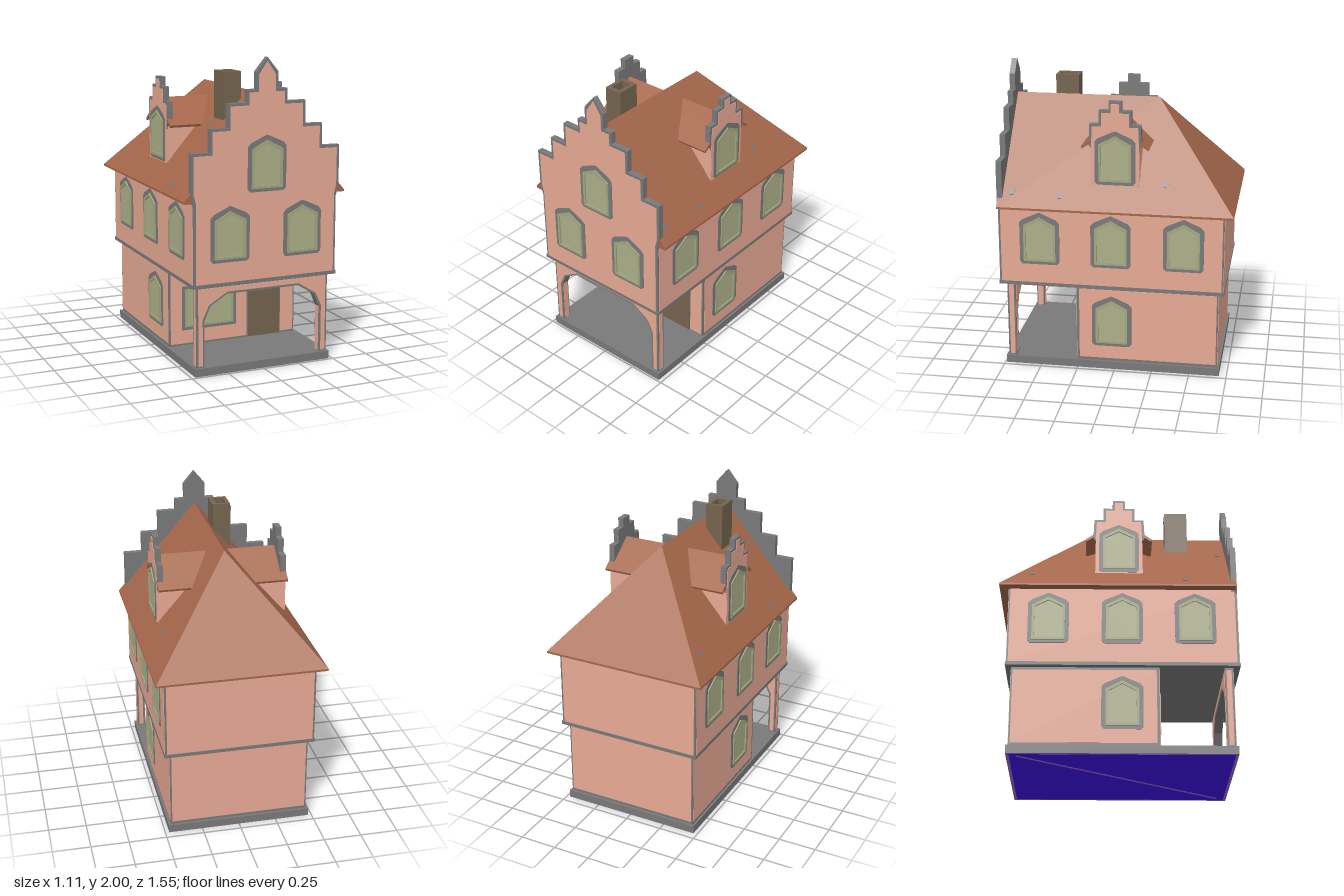
import * as THREE from 'three';

const material = (name, color) => {
  const m = new THREE.MeshStandardMaterial({ color });
  m.name = name;
  return m;
};

export function createModel() {
  const house = new THREE.Group();
  house.name = 'house';
  const plaster = material('pink plaster', 0xf0b09a);
  const stone = material('grey stone', 0x7a7979);
  const tile = material('roof tile', 0xa5674b);
  const wood = material('brown wood', 0x75644e);
  const rimPaint = material('olive window rim', 0xa3a780);
  const glass = material('olive pane', 0xacb088);
  const blue = material('underside blue', 0x3d0fe6);
  const violet = material('underside violet', 0x9a66cc);

  const add = (name, geometry, mat, parent = house) => {
    const mesh = new THREE.Mesh(geometry, mat);
    mesh.name = name;
    parent.add(mesh);
    return mesh;
  };
  // Box given by its limits on each axis
  const box = (name, mat, [x0, x1], [y0, y1], [z0, z1], parent = house) => {
    const mesh = add(name, new THREE.BoxGeometry(x1 - x0, y1 - y0, z1 - z0), mat, parent);
    mesh.position.set((x0 + x1) / 2, (y0 + y1) / 2, (z0 + z1) / 2);
    return mesh;
  };
  // Outline extruded from z0 to z1, with an optional hole
  const plate = (outline, z0, z1, hole) => {
    const shape = new THREE.Shape(outline.map(p => new THREE.Vector2(...p)));
    if (hole) shape.holes.push(new THREE.Path(hole.map(p => new THREE.Vector2(...p))));
    return new THREE.ExtrudeGeometry(shape, { depth: z1 - z0, bevelEnabled: false }).translate(0, 0, z0);
  };
  // Completes a right half (listed bottom to top) with its mirror image
  const mirror = half => [...half, ...half.filter(p => p[0] !== 0).reverse().map(([x, y]) => [-x, y])];
  const inset = (half, d) => half.map(([x, y]) => (x === 0 ? [0, y - d * 1.4] : [x - d, y - d]));

  // Base slab and its coloured underside
  box('baseSlab', stone, [-0.475, 0.475], [0.003, 0.055], [-0.70, 0.74]);
  box('undersideBorder', violet, [-0.475, 0.475], [0.002, 0.003], [-0.70, 0.74]);
  box('undersidePanel', blue, [-0.455, 0.455], [0.001, 0.002], [-0.68, 0.72]);
  const seam = add('undersideSeam', new THREE.BoxGeometry(0.02, 0.001, 1.55), violet);
  seam.position.set(0, 0.0005, 0.02);
  seam.rotation.y = Math.atan2(0.45, 0.7);

  // Ground floor: stone core whose edges show around the plaster panels
  box('groundFloorCore', stone, [-0.46, 0.46], [0.055, 0.59], [-0.685, 0.255]);
  for (const s of [-1, 1]) {
    box('groundSidePanel', plaster, [s * 0.461 - 0.002, s * 0.461 + 0.002], [0.075, 0.565], [-0.675, 0.238]);
  }
  box('groundBackPanel', plaster, [-0.45, 0.45], [0.075, 0.57], [-0.688, -0.684]);
  box('porchWallPanel', plaster, [-0.45, 0.1], [0.068, 0.575], [0.254, 0.259]);
  box('porchWallStrip', plaster, [0.355, 0.45], [0.068, 0.575], [0.254, 0.259]);
  box('door', wood, [0.115, 0.35], [0.057, 0.53], [0.254, 0.259]);

  // Porch front with its angular arch
  const arch = (w, d, bottom, top) => [
    ...mirror([[w, bottom], [w, top]]),
    [-0.405 - d, bottom], [-0.405 - d, 0.36 + d / 2], [-0.365 - d * 0.8, 0.45 + d * 0.6], [-0.25, 0.52 + d],
    [0.25, 0.52 + d], [0.365 + d * 0.8, 0.45 + d * 0.6], [0.405 + d, 0.36 + d / 2], [0.405 + d, bottom],
  ];
  add('porchArch', plate(arch(0.46, 0, 0.055, 0.59), 0.67, 0.725), stone);
  const porchFace = arch(0.448, 0.014, 0.065, 0.568);
  add('porchFrontPlaster', plate(porchFace, 0.724, 0.728), plaster);
  add('porchBackPlaster', plate(porchFace, 0.667, 0.671), plaster);
  for (const s of [-1, 1]) {
    box('postOuterPlaster', plaster, [s * 0.461 - 0.002, s * 0.461 + 0.002], [0.065, 0.57], [0.681, 0.713]);
    box('postInnerPlaster', plaster, [s * 0.404 - 0.002, s * 0.404 + 0.002], [0.06, 0.36], [0.678, 0.717]);
  }

  // Upper floor
  box('upperFloorCore', stone, [-0.493, 0.493], [0.585, 1.13], [-0.715, 0.763]);
  box('floorBand', stone, [-0.498, 0.498], [0.583, 0.606], [-0.722, 0.769]);
  for (const s of [-1, 1]) {
    box('upperSidePanel', plaster, [s * 0.494 - 0.002, s * 0.494 + 0.002], [0.606, 1.128], [-0.705, 0.75]);
  }
  box('upperBackPanel', plaster, [-0.481, 0.481], [0.606, 1.128], [-0.718, -0.714]);

  // Stepped front gable, with one plaster face running down over the upper floor
  const steps = [
    [0.51, 1.43], [0.385, 1.43], [0.385, 1.575], [0.265, 1.575], [0.265, 1.725],
    [0.138, 1.725], [0.138, 1.805], [0.075, 1.805], [0.075, 1.91], [0, 2],
  ];
  add('frontGable', plate(mirror([[0.493, 1.1], [0.51, 1.17], ...steps]), 0.728, 0.765), stone);
  add('frontPlaster', plate(mirror([[0.478, 0.606], [0.478, 1.12], [0.492, 1.17], ...inset(steps, 0.018)]), 0.762, 0.768), plaster);

  // Main roof: ridge running into the gable, hipped at the back
  const [ex, eb, ef, ey, ry] = [0.553, -0.775, 0.76, 1.135, 1.772];
  const A = [-ex, ey, ef], B = [ex, ey, ef], C = [ex, ey, eb], D = [-ex, ey, eb];
  const F = [0, ry, ef], R = [0, ry, -0.23];
  const [a, b, c, d] = [A, B, C, D].map(([x, y, z]) => [x, y - 0.014, z]);
  const triangles = [
    B, C, R, B, R, F, A, F, R, A, R, D, C, D, R, A, B, F,
    a, b, B, a, B, A, b, c, C, b, C, B, c, d, D, c, D, C, d, a, A, d, A, D,
    a, d, c, a, c, b,
  ];
  const roof = new THREE.BufferGeometry();
  roof.setAttribute('position', new THREE.Float32BufferAttribute(triangles.flat(), 3));
  roof.computeVertexNormals();
  add('mainRoof', roof, tile);

  // Small grey patches on the side slopes, as [x, z]
  const pitch = Math.atan2(ry - ey, ex);
  for (const [x, z] of [[0.415, -0.33], [0.49, 0.35], [0.48, 0.67], [-0.45, -0.57], [-0.19, 0.345], [-0.5, 0.43], [-0.21, 0.675]]) {
    const patch = add('roofPatch', new THREE.BoxGeometry(0.035, 0.006, 0.03), stone);
    patch.position.set(x, ry - Math.abs(x) * (ry - ey) / ex, z);
    patch.rotation.z = -Math.sign(x) * pitch;
  }

  // Dormers: body and roof run straight through the main roof
  const across = (name, outline, half, mat) => {
    add(name, plate(outline, -half, half), mat).rotation.y = Math.PI / 2;
  };
  across('dormerBody', mirror([[0.155, 1.22], [0.155, 1.56], [0, 1.67]]), 0.42, plaster);
  across('dormerRoof', [[0.222, 1.53], [0, 1.692], [-0.222, 1.53], [-0.215, 1.515], [0, 1.665], [0.215, 1.515]], 0.43, tile);

  // Pointed or square window: flat stone surround, raised olive rim, recessed pane
  const pointed = (w, y0, y1, peak) => mirror([[w, y0], [w, y1], [0, peak]]);
  const makeWindow = rect => {
    const g = new THREE.Group();
    g.name = 'window';
    const square = (w, y0, y1) => mirror([[w, y0], [w, y1]]);
    const outer = rect ? square(0.195, 0, 0.3)
      : mirror([[0.115, 0], [0.132, 0.018], [0.132, 0.285], [0.11, 0.308], [0, 0.357]]);
    const mid = rect ? square(0.175, 0.02, 0.28) : pointed(0.106, 0.022, 0.268, 0.325);
    const inner = rect ? square(0.16, 0.035, 0.262) : pointed(0.09, 0.038, 0.255, 0.302);
    add('windowSurround', plate(outer, -0.004, 0.004, mid), stone, g);
    add('windowRim', plate(mid, -0.004, 0.012, inner), rimPaint, g);
    add('windowPane', plate(inner, -0.004, 0.003), glass, g);
    house.add(g);
    return g;
  };
  const porchWindow = makeWindow(true);
  porchWindow.position.set(-0.175, 0.16, 0.26);
  porchWindow.scale.z = 0.6;
  for (const [x, y] of [[-0.25, 0.735], [0.25, 0.735], [0, 1.165]]) {
    makeWindow(false).position.set(x, y, 0.768);
  }

  // Parts repeated on both long sides
  const dormerSteps = [[0.165, 1.68], [0.105, 1.68], [0.105, 1.77], [0.042, 1.77], [0.042, 1.83]];
  for (const s of [-1, 1]) {
    const sideWindows = [[0.496, 0.735, 0.49], [0.496, 0.735, 0.02], [0.496, 0.735, -0.455], [0.463, 0.165, 0.02], [0.432, 1.282, 0]];
    for (const [x, y, z] of sideWindows) {
      const w = makeWindow(false);
      w.position.set(s * x, y, z);
      w.rotation.y = s * Math.PI / 2;
    }
    const gable = new THREE.Group();
    gable.name = 'dormerGable';
    gable.rotation.y = s * Math.PI / 2;
    add('dormerGableStone', plate(mirror([[0.155, 1.25], [0.155, 1.52], [0.172, 1.54], ...dormerSteps]), 0.39, 0.428), stone, gable);
    add('dormerGablePlaster', plate(mirror([[0.154, 1.26], [0.154, 1.55], ...inset(dormerSteps, 0.016)]), 0.426, 0.432), plaster, gable);
    box('dormerCheek', plaster, [-0.157, 0.157], [1.25, 1.5], [0.385, 0.43], gable);
    house.add(gable);
  }

  // Hollow chimney
  const rectangle = (x0, x1, y0, y1) => [[x0, y0], [x1, y0], [x1, y1], [x0, y1]];
  const chimney = plate(rectangle(-0.165, -0.045, -0.475, -0.32), 1.5, 1.89, rectangle(-0.14, -0.073, -0.448, -0.347));
  add('chimney', chimney, wood).rotation.x = -Math.PI / 2;
  box('chimneyFloor', wood, [-0.142, -0.071], [1.75, 1.82], [0.345, 0.45]);

  return house;
}
